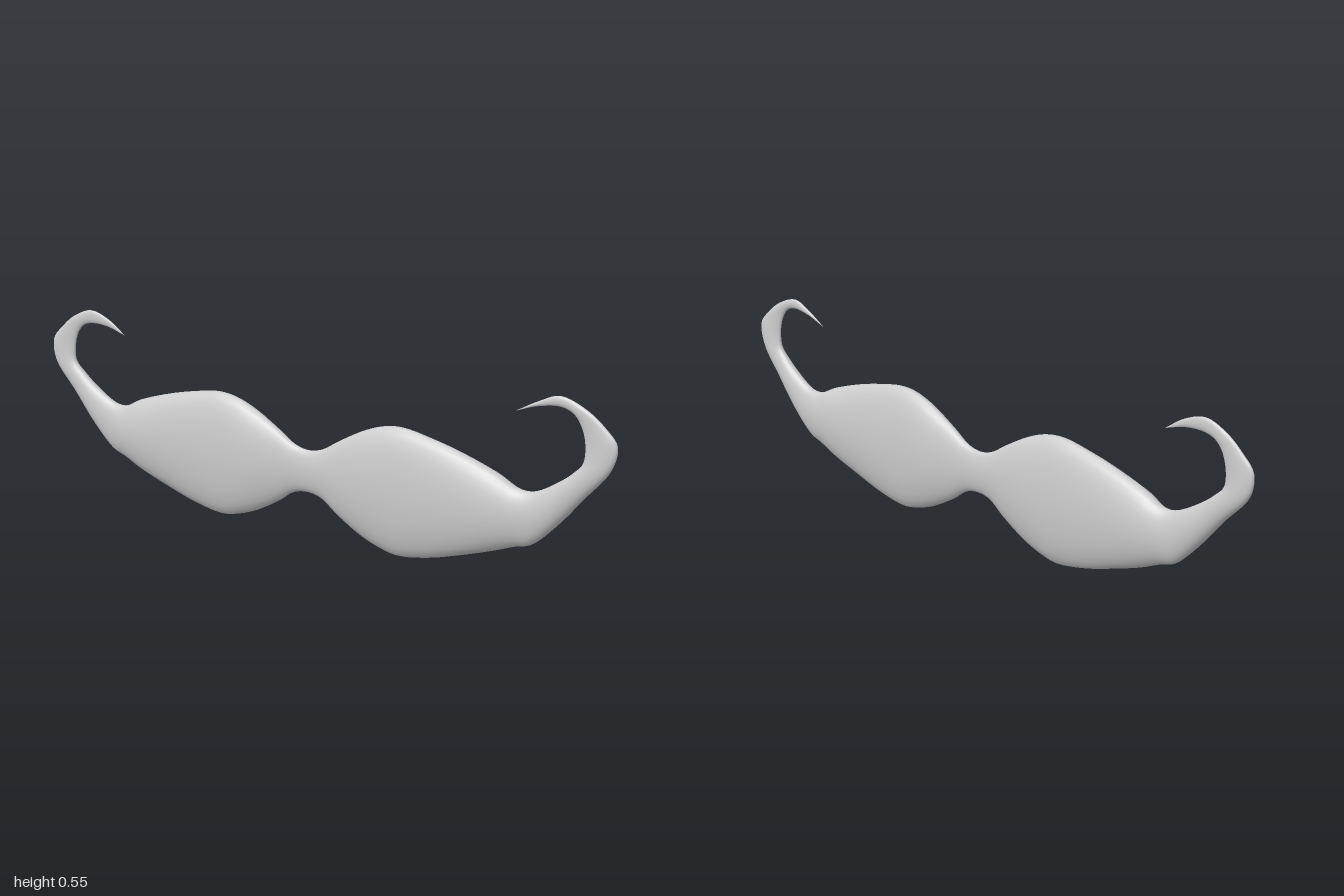
import * as THREE from 'three';

// Stations: [upper x, upper y, lower x, lower y, half thickness], centre outwards.
const body = [
  [0.05, 0.267, 0.05, 0.122, 0.022],
  [0.11, 0.302, 0.11, 0.083, 0.032],
  [0.2, 0.349, 0.2, 0.036, 0.045],
  [0.27, 0.373, 0.27, 0.013, 0.047],
  [0.33, 0.379, 0.32, 0.005, 0.047],
  [0.42, 0.365, 0.42, 0.02, 0.047],
  [0.52, 0.342, 0.52, 0.048, 0.047],
  [0.64, 0.304, 0.63, 0.084, 0.046],
];
const leftCurl = [
  [0.71, 0.274, 0.7, 0.11, 0.035],
  [0.76, 0.277, 0.75, 0.125, 0.028],
  [0.837, 0.32, 0.82, 0.185, 0.026],
  [0.875, 0.35, 0.905, 0.28, 0.021],
  [0.9, 0.378, 0.985, 0.375, 0.016],
  [0.905, 0.425, 0.999, 0.44, 0.012],
  [0.893, 0.472, 0.965, 0.48, 0.009],
  [0.868, 0.505, 0.905, 0.522, 0.008],
  [0.83, 0.518, 0.825, 0.547, 0.007],
  [0.76, 0.509, 0.765, 0.525, 0.005],
  [0.695, 0.487, 0.695, 0.488, 0.0005],
];
const rightCurl = [
  [0.7, 0.276, 0.7, 0.113, 0.035],
  [0.745, 0.278, 0.75, 0.13, 0.028],
  [0.835, 0.325, 0.82, 0.192, 0.026],
  [0.875, 0.355, 0.905, 0.287, 0.021],
  [0.905, 0.385, 0.99, 0.38, 0.016],
  [0.909, 0.425, 0.998, 0.445, 0.012],
  [0.895, 0.475, 0.96, 0.488, 0.009],
  [0.87, 0.503, 0.91, 0.527, 0.008],
  [0.835, 0.514, 0.837, 0.554, 0.007],
  [0.77, 0.512, 0.765, 0.534, 0.005],
  [0.702, 0.494, 0.702, 0.495, 0.0005],
];

// Closed elliptical loft between an upper and a lower edge curve.
function loft(stations, steps, sides) {
  const upper = new THREE.CatmullRomCurve3(stations.map(s => new THREE.Vector3(s[0], s[1], 0)));
  const lower = new THREE.CatmullRomCurve3(stations.map(s => new THREE.Vector3(s[2], s[3], s[4])));
  const positions = [], index = [];
  for (let i = 0; i <= steps; i++) {
    const u = upper.getPoint(i / steps), l = lower.getPoint(i / steps);
    for (let j = 0; j < sides; j++) {
      const a = (j / sides) * Math.PI * 2, k = (1 + Math.cos(a)) / 2;
      positions.push(l.x + (u.x - l.x) * k, l.y + (u.y - l.y) * k, l.z * Math.sin(a));
    }
  }
  for (let i = 0; i < steps; i++) {
    for (let j = 0; j < sides; j++) {
      const a = i * sides + j, b = i * sides + (j + 1) % sides;
      index.push(a, b, a + sides, b, b + sides, a + sides);
    }
  }
  // Tip caps
  const last = steps * sides;
  for (let j = 1; j < sides - 1; j++) {
    index.push(0, j + 1, j, last, last + j, last + j + 1);
  }
  const geometry = new THREE.BufferGeometry();
  geometry.setAttribute('position', new THREE.Float32BufferAttribute(positions, 3));
  geometry.setIndex(index);
  geometry.computeVertexNormals();
  return geometry;
}

export function createModel() {
  const group = new THREE.Group();
  group.name = 'moustache';
  const mirror = s => [-s[0], s[1], -s[2], s[3], s[4]];
  const stations = [
    ...[...body, ...rightCurl].map(mirror).reverse(),
    [0, 0.257, 0, 0.131, 0.019], // pinched middle
    ...body,
    ...leftCurl,
  ];
  const material = new THREE.MeshStandardMaterial({ color: 0xcccccc });
  const hair = new THREE.Mesh(loft(stations, (stations.length - 1) * 5, 32), material);
  hair.name = 'curledMoustache';
  group.add(hair);
  return group;
}
